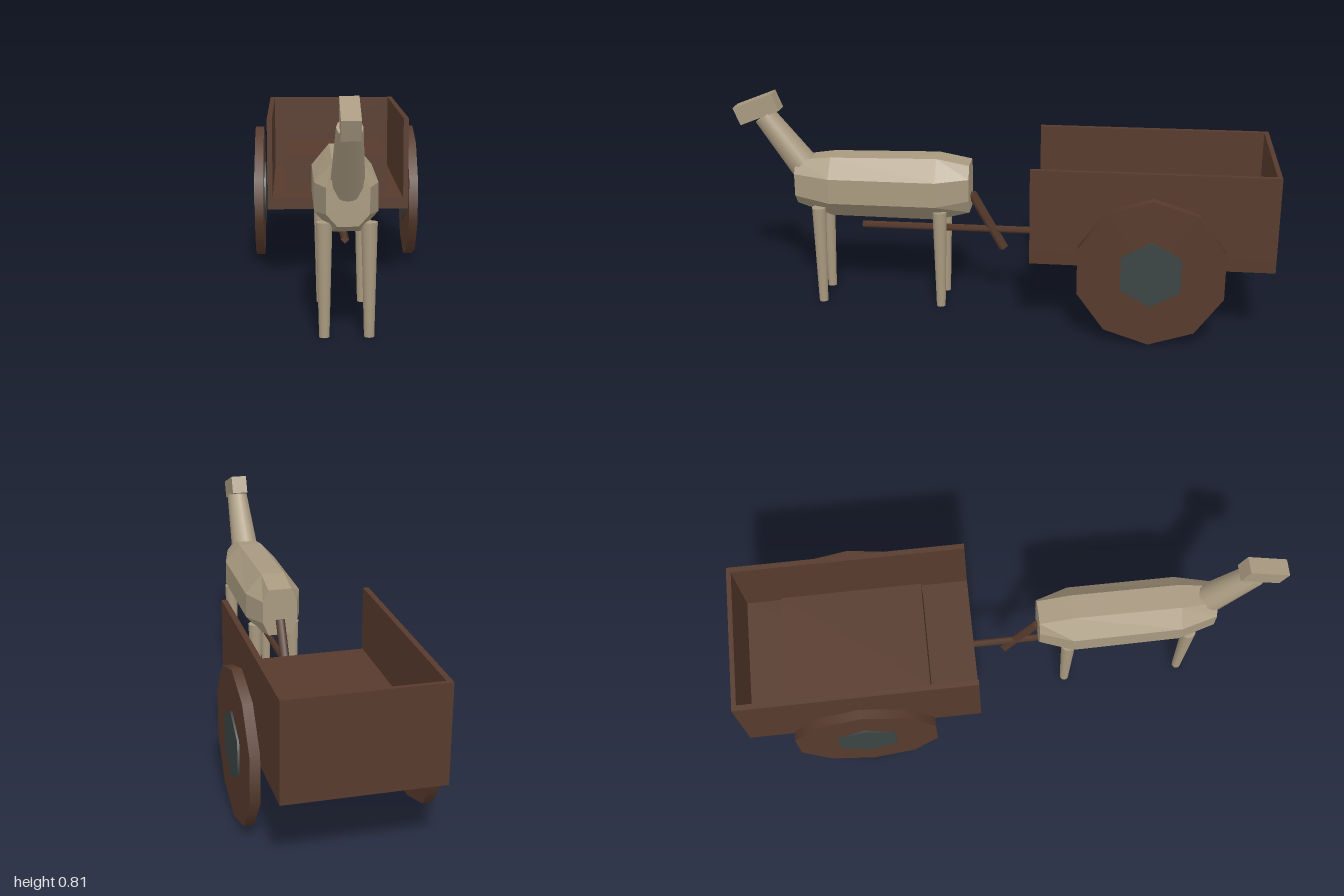
import * as THREE from 'three';

export function createModel() {
  const model = new THREE.Group();
  const wood = new THREE.MeshStandardMaterial({ color: 0x573a2c });
  wood.name = 'darkWood';
  const hide = new THREE.MeshStandardMaterial({ color: 0xa99a80 });
  hide.name = 'tanHide';
  const hideFlat = hide;
  const iron = new THREE.MeshStandardMaterial({ color: 0x3b4444 });
  iron.name = 'greyIron';

  const add = (name, geometry, material, parent = model) => {
    const mesh = new THREE.Mesh(geometry, material);
    mesh.name = name;
    parent.add(mesh);
    return mesh;
  };
  // box given by its min and max corners
  const block = (name, a, b, material, parent) => {
    const mesh = add(name, new THREE.BoxGeometry(b[0] - a[0], b[1] - a[1], b[2] - a[2]), material, parent);
    mesh.position.set((a[0] + b[0]) / 2, (a[1] + b[1]) / 2, (a[2] + b[2]) / 2);
    return mesh;
  };
  // tapered rod from point a to point b
  const rod = (name, a, b, ra, rb, sides, material, parent) => {
    const p = new THREE.Vector3(...a), q = new THREE.Vector3(...b);
    const mesh = add(name, new THREE.CylinderGeometry(rb, ra, p.distanceTo(q), sides), material, parent);
    mesh.position.copy(p).lerp(q, 0.5);
    mesh.quaternion.setFromUnitVectors(new THREE.Vector3(0, 1, 0), q.sub(p).normalize());
    return mesh;
  };
  // disc with its axle along x and a corner pointing up
  const disc = (name, r, width, sides, material, parent) => {
    const mesh = add(name, new THREE.CylinderGeometry(r, r, width, sides, 1, false, Math.PI / 2), material, parent);
    mesh.rotation.z = Math.PI / 2;
    return mesh;
  };

  // cart: tray open at the front, with a crate inside
  const cart = new THREE.Group();
  cart.name = 'cart';
  model.add(cart);
  block('cartFloor', [-0.273, 0.275, -1], [0.273, 0.317, -0.13], wood, cart);
  block('cartBackWall', [-0.253, 0.317, -1], [0.253, 0.627, -0.983], wood, cart);
  for (const s of [-1, 1]) {
    const x = [0.253 * s, 0.273 * s].sort((a, b) => a - b);
    block('cartSideWall', [x[0], 0.317, -1], [x[1], 0.627, -0.13], wood, cart);
    const wheel = new THREE.Group();
    wheel.name = 'wheel';
    wheel.position.set(0.31 * s, 0.274, -0.563);
    disc('wheelDisc', 0.273, 0.035, 10, wood, wheel);
    disc('wheelHub', 0.123, 0.049, 6, iron, wheel);
    cart.add(wheel);
  }
  block('crate', [-0.2, 0.317, -0.83], [0.2, 0.463, -0.305], wood, cart);
  rod('shaft', [0, 0.293, -0.14], [0, 0.293, 0.53], 0.014, 0.014, 4, wood, cart);

  // animal body: eight-sided rings lofted front to back
  // [z, half width, half flat, bottom, lower side, upper side, top]
  const rings = [
    [0.77, 0.07, 0.034, 0.385, 0.425, 0.51, 0.555],
    [0.635, 0.105, 0.045, 0.343, 0.41, 0.505, 0.572],
    [0.235, 0.107, 0.045, 0.34, 0.41, 0.505, 0.58],
    [0.113, 0.067, 0.045, 0.373, 0.425, 0.51, 0.557],
  ].map(([z, w, f, b, l, u, t]) => [
    [w, l, z], [w, u, z], [f, t, z], [-f, t, z], [-w, u, z], [-w, l, z], [-f, b, z], [f, b, z],
  ]);
  const pos = [];
  const tri = (...pts) => pts.forEach((p) => pos.push(...p));
  const last = rings.length - 1;
  for (let i = 0; i < 8; i++) {
    const j = (i + 1) % 8;
    for (let k = 0; k < last; k++) {
      const a = rings[k], b = rings[k + 1];
      tri(a[i], b[i], a[j]);
      tri(b[i], b[j], a[j]);
    }
    tri([0, 0.468, rings[0][0][2]], rings[0][i], rings[0][j]);
    tri([0, 0.468, rings[last][0][2]], rings[last][j], rings[last][i]);
  }
  const bodyGeometry = new THREE.BufferGeometry();
  bodyGeometry.setAttribute('position', new THREE.Float32BufferAttribute(pos, 3));
  bodyGeometry.computeVertexNormals();
  const animal = new THREE.Group();
  animal.name = 'animal';
  model.add(animal);
  add('body', bodyGeometry, hideFlat, animal);

  // legs, neck, head and tail
  for (const x of [-0.0735, 0.0735])
    for (const z of [0.68, 0.222])
      rod(z > 0.5 ? 'frontLeg' : 'backLeg', [x, 0, z], [x, 0.383, z], 0.017, 0.027, 12, hide, animal);
  rod('neck', [0, 0.5, 0.728], [0, 0.715, 0.888], 0.057, 0.042, 12, hide, animal);
  const head = add('head', new THREE.BoxGeometry(0.062, 0.07, 0.161), hide, animal);
  head.position.set(0, 0.745, 0.912);
  head.rotation.x = 0.38;
  rod('tail', [0, 0.435, 0.11], [0, 0.217, -0.012], 0.018, 0.018, 4, wood, animal);

  return model;
}
